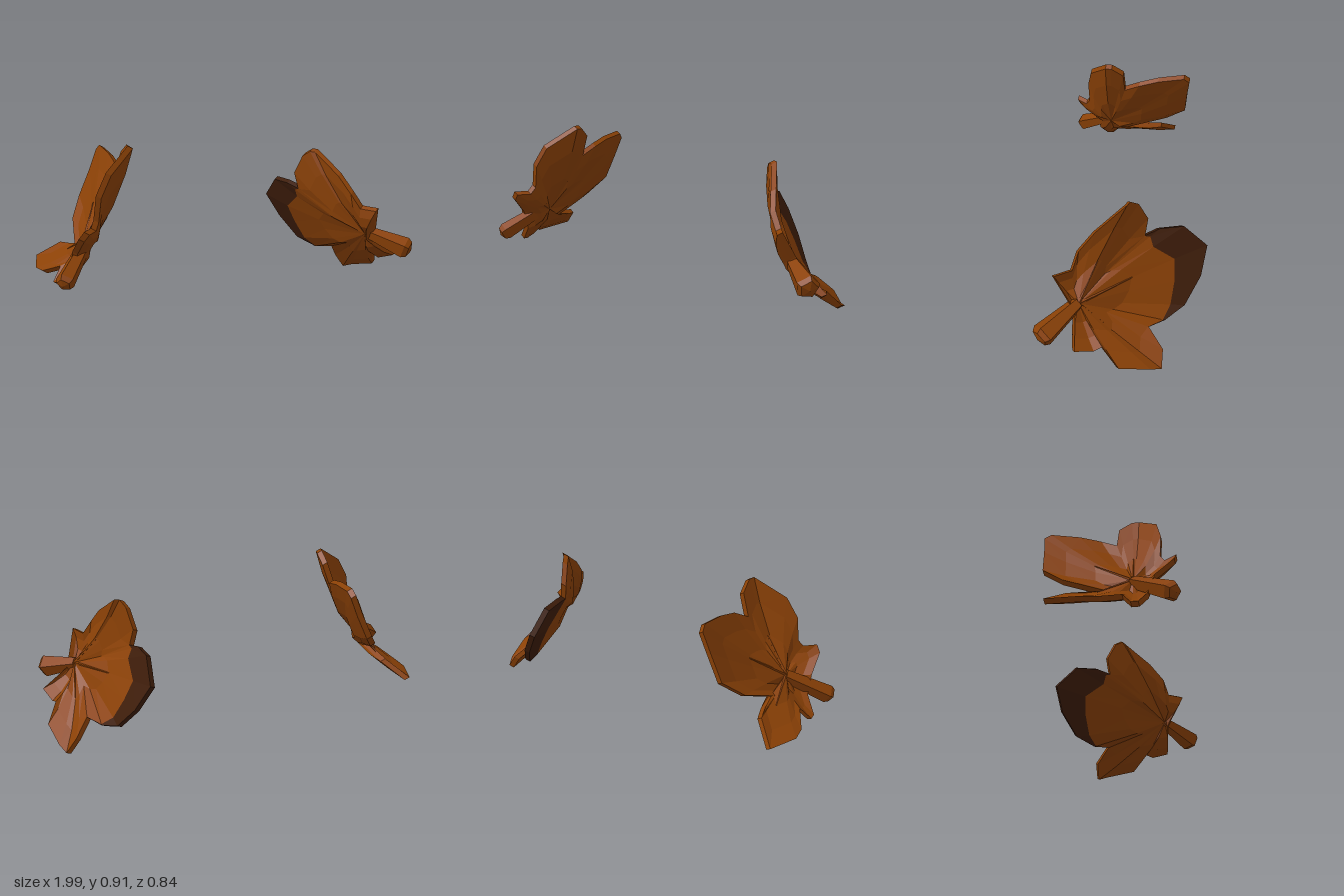
import * as THREE from 'three';

const V = (a) => new THREE.Vector3(a[0], a[1], a[2]);

// Each leaf: hub where the veins meet, stem end, and rim points [x, y, z, darkStart].
// darkStart is how far out from the hub the dark patch begins on that spoke.
const leftLeaf = {
  name: 'leftLeaf', hub: [0.795, 0.335, 0.21], stemEnd: [0.96, 0.257, 0.385], stemRadius: 0.062,
  sag: 0.03, bulge: 0.006, veins: [6, 12, 18],
  rim: [
    [0.82, 0.36, 0.25], [0.78, 0.49, 0.325], [0.735, 0.49, 0.24],               // upper side lobe
    [0.69, 0.57, 0.21], [0.655, 0.66, 0.13], [0.59, 0.772, -0.02],              // upper lobe
    [0.565, 0.775, -0.035], [0.54, 0.745, -0.075], [0.515, 0.64, -0.122],
    [0.535, 0.55, -0.108, 0.99], [0.505, 0.57, -0.18, 0.89], [0.483, 0.57, -0.30, 0.72], // tip lobe
    [0.488, 0.455, -0.42, 0.75], [0.565, 0.32, -0.39, 0.79], [0.647, 0.197, -0.31, 0.87],
    [0.715, 0.157, -0.21, 0.98], [0.78, 0.172, -0.13, 0.99],
    [0.85, 0.09, -0.20], [0.905, 0.011, -0.195], [0.935, 0.035, -0.14],         // lower lobe
    [0.975, 0.08, 0.015], [0.92, 0.168, 0.095],
    [0.935, 0.155, 0.135], [0.975, 0.19, 0.225], [0.84, 0.30, 0.225],           // lower side lobe
  ],
};

const rightLeaf = {
  name: 'rightLeaf', hub: [-0.785, 0.435, 0.085], stemEnd: [-0.96, 0.287, 0.275], stemRadius: 0.05,
  sag: 0.026, bulge: 0.014, veins: [6, 12, 18],
  rim: [
    [-0.88, 0.315, 0.155], [-0.945, 0.24, 0.115], [-0.95, 0.235, 0.08], [-0.90, 0.30, 0.04], // lower side lobe
    [-0.97, 0.255, -0.06], [-0.985, 0.25, -0.14], [-0.94, 0.265, -0.31],        // lower lobe
    [-0.83, 0.35, -0.22], [-0.80, 0.375, -0.04],
    [-0.75, 0.465, -0.25], [-0.68, 0.56, -0.355], [-0.615, 0.70, -0.36],        // tip lobe
    [-0.572, 0.805, -0.368], [-0.562, 0.832, -0.335], [-0.56, 0.815, -0.19], [-0.562, 0.785, -0.08],
    [-0.595, 0.74, 0], [-0.555, 0.855, 0.01], [-0.545, 0.902, 0.075], [-0.55, 0.902, 0.11], // upper lobe
    [-0.695, 0.795, 0.2], [-0.755, 0.69, 0.22], [-0.77, 0.57, 0.215],
    [-0.79, 0.535, 0.235], [-0.84, 0.535, 0.29], [-0.865, 0.50, 0.28], [-0.875, 0.415, 0.19], // upper side lobe
  ],
};

function makeGeometry(positions) {
  const g = new THREE.BufferGeometry();
  g.setAttribute('position', new THREE.Float32BufferAttribute(positions, 3));
  g.computeVertexNormals();
  return g;
}

// Tapered flat-shaded rod between two points, with a pointed end
function rod(a, b, r0, r1, cap, sides, material, name) {
  const dir = b.clone().sub(a);
  const len = dir.length();
  const profile = [[0, 0], [r0, 0], [r1, len - cap], [r1 * 0.75, len], [0, len + cap * 0.5]];
  const g = new THREE.LatheGeometry(profile.map(([r, y]) => new THREE.Vector2(r, y)), sides).toNonIndexed();
  g.computeVertexNormals();
  const mesh = new THREE.Mesh(g, material);
  mesh.position.copy(a);
  mesh.quaternion.setFromUnitVectors(new THREE.Vector3(0, 1, 0), dir.normalize());
  mesh.name = name;
  return mesh;
}

function makeLeaf(spec, brown, dark) {
  const group = new THREE.Group();
  group.name = spec.name;
  const hub = V(spec.hub);
  const rim = spec.rim.map(V);
  const n = rim.length;

  // Average facing of the blade
  const normal = new THREE.Vector3();
  rim.forEach((p, i) => {
    const q = rim[(i + 1) % n];
    normal.add(q.clone().sub(hub).cross(p.clone().sub(hub)));
  });
  normal.normalize();

  // Front and back points along each spoke: a shallow cup, thicker towards the hub
  const half = 0.015;
  const lift = (p, d) => p.clone().addScaledVector(normal, d);
  const spokes = rim.map((p, i) => {
    const steps = [0, 0.42, spec.rim[i][3] ?? 0.75, 1];
    const mid = steps.map((t) => lift(hub.clone().lerp(p, t), -spec.sag * Math.sin(Math.PI * t)));
    return {
      front: mid.map((m) => lift(m, half)),
      back: mid.map((m, k) => lift(m, -half - spec.bulge * (1 - steps[k]))),
    };
  });

  const body = [], tip = [];
  const tri = (out, a, b, c) => [a, b, c].forEach((p) => out.push(p.x, p.y, p.z));
  const quad = (out, a, b, c, d) => { tri(out, a, b, c); tri(out, a, c, d); };

  for (let i = 0; i < n; i++) {
    const j = (i + 1) % n;
    const s = spokes[i], t = spokes[j];
    const isDark = spec.rim[i][3] !== undefined && spec.rim[j][3] !== undefined;
    const edge = isDark ? tip : body;
    tri(body, s.front[0], t.front[1], s.front[1]);
    tri(body, s.back[0], s.back[1], t.back[1]);
    for (let k = 1; k < 3; k++) {
      const out = k === 2 ? edge : body;
      quad(out, s.front[k], t.front[k], t.front[k + 1], s.front[k + 1]);
      quad(out, s.back[k], s.back[k + 1], t.back[k + 1], t.back[k]);
    }
    // Rim wall
    quad(edge, s.front[3], t.front[3], t.back[3], s.back[3]);
  }

  const blade = new THREE.Mesh(makeGeometry(body), brown);
  blade.name = 'blade';
  group.add(blade);
  if (tip.length) {
    const patch = new THREE.Mesh(makeGeometry(tip), dark);
    patch.name = 'darkTip';
    group.add(patch);
  }

  // Slim veins running out to the large lobes
  for (const i of spec.veins) {
    group.add(rod(spokes[i].front[0], spokes[i].front[1], 0.008, 0.003, 0.01, 4, brown, 'vein'));
  }

  group.add(rod(hub, V(spec.stemEnd), 0.034, spec.stemRadius, 0.025, 5, brown, 'stem'));
  return group;
}

export function createModel() {
  const brown = new THREE.MeshStandardMaterial({ color: 0x8b4106 });
  brown.name = 'leafBrown';
  brown.flatShading = true;
  const dark = new THREE.MeshStandardMaterial({ color: 0x3e1d0a });
  dark.name = 'darkBrown';
  dark.flatShading = true;

  const model = new THREE.Group();
  model.name = 'fallenLeaves';
  model.add(makeLeaf(leftLeaf, brown, dark), makeLeaf(rightLeaf, brown, dark));
  return model;
}
